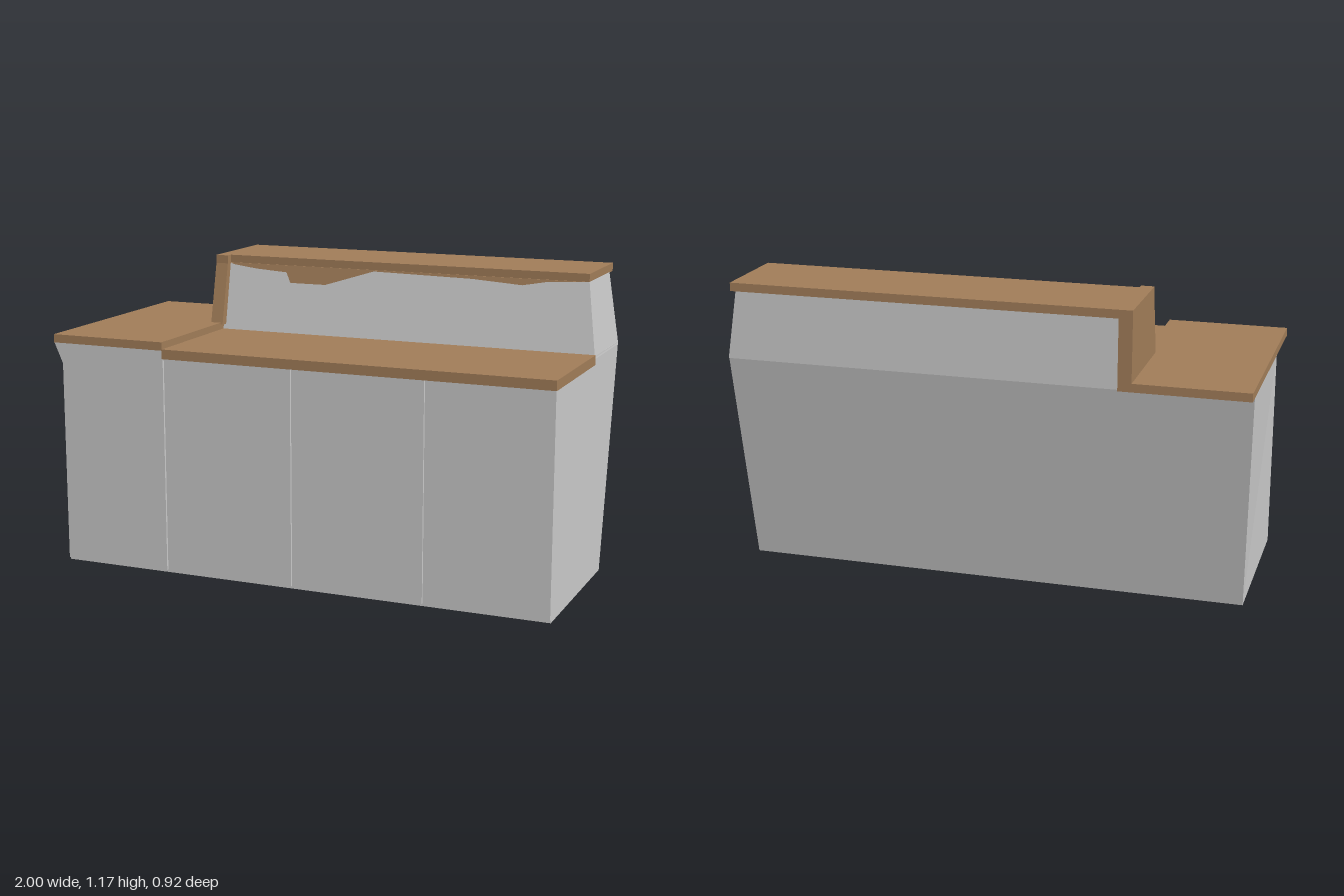
import * as THREE from 'three';

const greyPaint = new THREE.MeshStandardMaterial({ color: 0xc8c8c8, name: 'grey paint' });
const wood = new THREE.MeshStandardMaterial({ color: 0xa07c58, name: 'wood' });

// Extrudes a [z, y] side profile along x from x0 to x1.
function profile(points, x0, x1) {
  const shape = new THREE.Shape(points.map(([z, y]) => new THREE.Vector2(z, y)));
  const geo = new THREE.ExtrudeGeometry(shape, { depth: x1 - x0, bevelEnabled: false });
  return geo.rotateY(-Math.PI / 2).translate(x1, 0, 0);
}

// Box given by its limits.
function block(x0, x1, y0, y1, z0, z1) {
  const geo = new THREE.BoxGeometry(x1 - x0, y1 - y0, z1 - z0, 1, 1, 1);
  return geo.translate((x0 + x1) / 2, (y0 + y1) / 2, (z0 + z1) / 2);
}

// Moves every vertex by a rule, then rebuilds flat normals.
function warp(geo, rule) {
  const out = geo.index ? geo.toNonIndexed() : geo;
  const pos = out.attributes.position;
  const v = new THREE.Vector3();
  for (let i = 0; i < pos.count; i++) {
    v.fromBufferAttribute(pos, i);
    rule(v);
    pos.setXYZ(i, v.x, v.y, v.z);
  }
  out.computeVertexNormals();
  return out;
}

// The outer left-hand end leans out just under the counter.
const flare = (v) => { if (v.x < -0.9 && v.y > 0.8) v.x = -1; };

export function createModel() {
  const group = new THREE.Group();
  const add = (name, geo, material) => {
    const mesh = new THREE.Mesh(geo, material);
    mesh.name = name;
    group.add(mesh);
  };

  // Cabinet with a leaning back
  add('cabinetBody', warp(profile([
    [0.447, 0], [-0.225, 0], [-0.393, 0.79], [-0.41, 0.87], [0.447, 0.87], [0.447, 0.79],
  ], -0.965, 0.998), flare), greyPaint);

  // Front panels separated by narrow grooves
  const edges = [-0.965, -0.525, 0, 0.52, 0.998];
  for (let i = 0; i < 4; i++) {
    const x0 = edges[i] + (i > 0 ? 0.003 : 0);
    const x1 = edges[i + 1] - (i < 3 ? 0.003 : 0);
    const top = i === 0 ? 0.87 : 0.845;
    const geo = profile([[0.456, 0.01], [0.44, 0.01], [0.44, 0.79], [0.44, top], [0.456, top], [0.456, 0.79]], x0, x1);
    add('frontPanel' + (i + 1), warp(geo, flare), greyPaint);
  }

  // Lower counters
  add('sideCounter', block(-1, -0.53, 0.87, 0.902, -0.46, 0.459), wood);
  add('mainCounter', block(-0.53, 1, 0.838, 0.875, -0.058, 0.459), wood);

  // Raised upstand, tapering at its right end
  const upstand = profile([[-0.055, 0.86], [-0.41, 0.86], [-0.41, 1.137], [-0.112, 1.137]], -0.53, 0.999);
  add('upstand', warp(upstand, (v) => { if (v.x > 0.5 && v.y > 1) v.x = 0.955; }), greyPaint);

  // Raised shelf and its leaning end panel
  add('raisedShelf', block(-0.57, 0.955, 1.135, 1.167, -0.46, -0.112), wood);
  add('endPanel', profile([
    [-0.03, 0.895], [-0.46, 0.87], [-0.46, 1.167], [-0.085, 1.167], [-0.085, 1.135],
  ], -0.571, -0.52), wood);

  // Uneven wood-coloured band under the shelf, laid on the sloping face
  const band = new THREE.Shape([
    [-0.52, 1.137], [-0.5, 1.13], [-0.4, 1.118], [-0.27, 1.11], [-0.25, 1.07], [-0.1, 1.07], [0.1, 1.132],
    [0.5, 1.125], [0.7, 1.112], [0.8, 1.13], [0.95, 1.137],
  ].map(([x, y]) => new THREE.Vector2(x, y)));
  const bandGeo = new THREE.ExtrudeGeometry(band, { depth: 0.004, bevelEnabled: false });
  add('woodBand', warp(bandGeo, (v) => { v.z += -0.055 - (v.y - 0.86) * (0.057 / 0.277); }), wood);

  return group;
}
